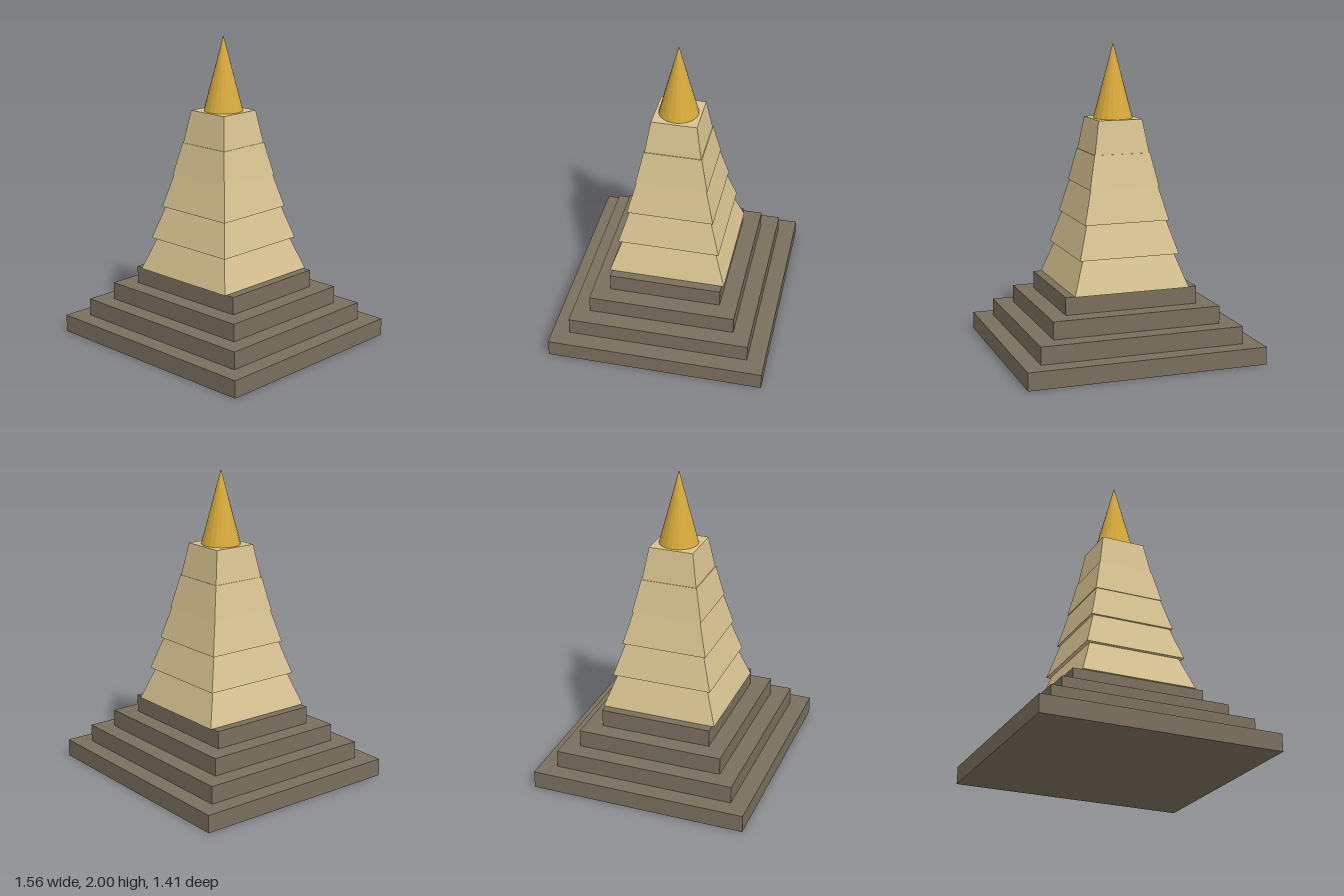
import * as THREE from 'three';

const stone = new THREE.MeshStandardMaterial({ color: 0x7a6f5e });
stone.name = 'dark stone';
const sandstone = new THREE.MeshStandardMaterial({ color: 0xd8c391 });
sandstone.name = 'pale sandstone';
const gold = new THREE.MeshStandardMaterial({ color: 0xd8ab3c });
gold.name = 'gold';

// Faceted geometry with one normal per face
function faceted(geometry) {
  const flat = geometry.toNonIndexed();
  flat.computeVertexNormals();
  return flat;
}

function addPart(group, name, geometry, material, y) {
  const mesh = new THREE.Mesh(geometry, material);
  mesh.name = name;
  mesh.position.y = y;
  group.add(mesh);
}

export function createModel() {
  const model = new THREE.Group();
  model.name = 'templeTower';

  // Stepped rectangular plinth
  const stepHeight = 0.1143;
  for (let i = 0; i < 4; i++) {
    const inset = i * 0.2276;
    addPart(model, `plinthStep${i + 1}`,
      new THREE.BoxGeometry(1.56 - inset, stepHeight, 1.415 - inset),
      stone, stepHeight * (i + 0.5));
  }

  // Square tapering tiers, each overhanging the one below
  const towerBase = stepHeight * 4;
  const tierHeight = 0.2126;
  for (let i = 0; i < 5; i++) {
    const bottom = 0.381 - i * 0.0497;
    const top = 0.306 - i * 0.04;
    const tier = new THREE.CylinderGeometry(
      top * Math.SQRT2, bottom * Math.SQRT2, tierHeight, 4);
    tier.rotateY(Math.PI / 4);
    addPart(model, `towerTier${i + 1}`, faceted(tier), sandstone,
      towerBase + tierHeight * (i + 0.5));
  }

  // Pointed finial
  const spireBase = towerBase + tierHeight * 5;
  const spireHeight = 2 - spireBase;
  addPart(model, 'spire',
    faceted(new THREE.ConeGeometry(0.127, spireHeight, 20)),
    gold, spireBase + spireHeight / 2);

  return model;
}
